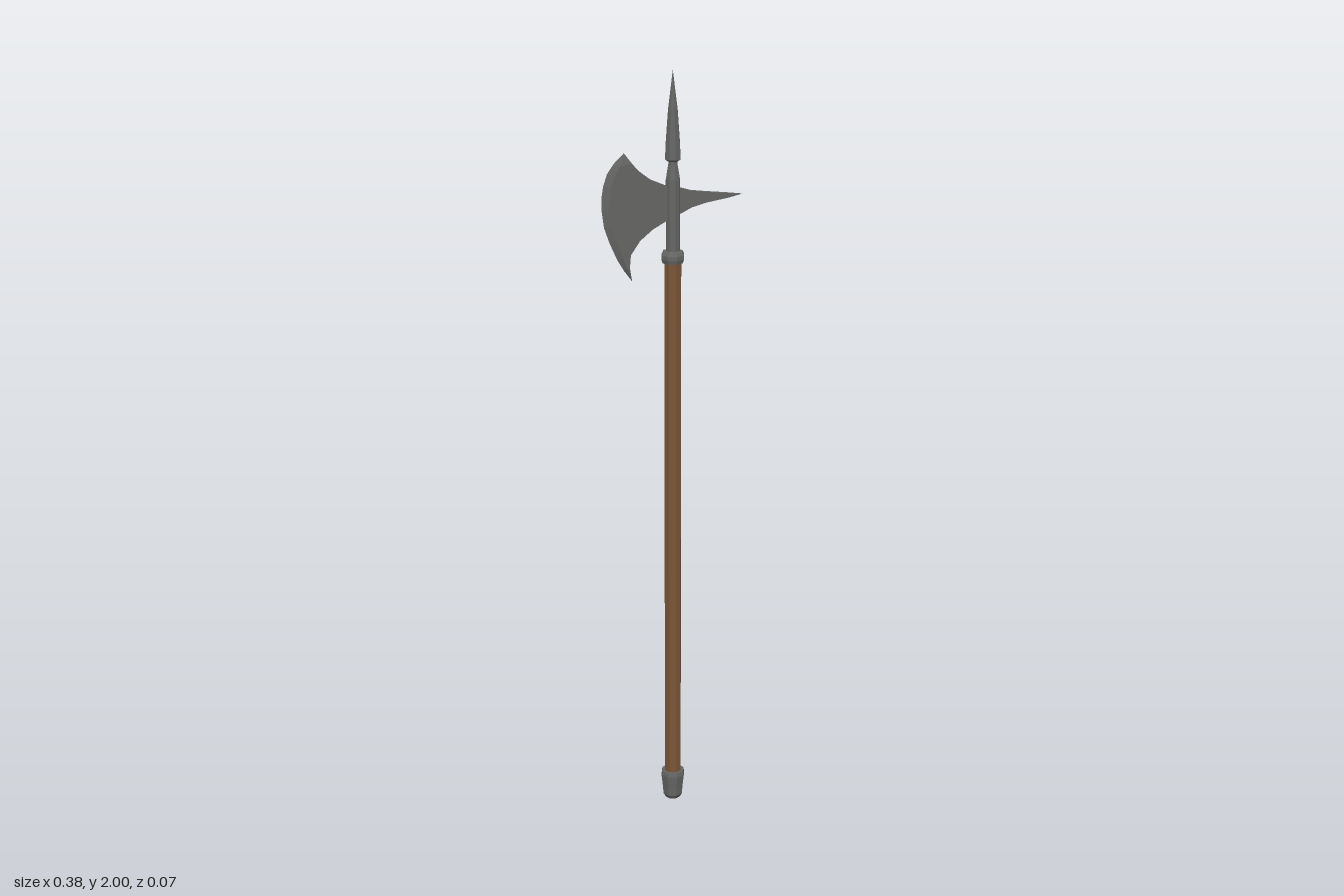
import * as THREE from 'three';

const T = 0.0065; // half thickness of the axe plate

// Skin between matching closed loops of [x, y, z] points
function loft(loops) {
  const n = loops[0].length, index = [];
  for (let i = 0; i < loops.length - 1; i++) {
    for (let j = 0; j < n; j++) {
      const k = (j + 1) % n, a = i * n, b = a + n;
      index.push(b + j, b + k, a + k, b + j, a + k, a + j);
    }
  }
  const geo = new THREE.BufferGeometry();
  geo.setAttribute('position', new THREE.Float32BufferAttribute(loops.flat(2), 3));
  geo.setIndex(index);
  const flat = geo.toNonIndexed();
  flat.computeVertexNormals();
  return flat;
}

// Eight-sided turned part from [radius, height] pairs, bottom to top
function turned(profile) {
  return new THREE.LatheGeometry(profile.map(([r, y]) => new THREE.Vector2(r, y)), 8);
}

export function createModel() {
  const steel = new THREE.MeshStandardMaterial({ name: 'steel', color: 0x666665, flatShading: true });
  const wood = new THREE.MeshStandardMaterial({ name: 'wood', color: 0x7a5638, flatShading: true });
  const model = new THREE.Group();
  model.name = 'halberd';
  const add = (name, geo, mat) => {
    const mesh = new THREE.Mesh(geo, mat);
    mesh.name = name;
    model.add(mesh);
  };

  // Pole with its foot cap
  add('pole', turned([[0.023, 0.06], [0.023, 1.52]]), wood);
  add('footCap', turned([[0, 0], [0.019, 0], [0.027, 0.012], [0.029, 0.035], [0.033, 0.07], [0.031, 0.082], [0.022, 0.082]]), steel);

  // Collar, socket and spear point
  add('collar', turned([[0.022, 1.508], [0.028, 1.51], [0.031, 1.52], [0.031, 1.53], [0.026, 1.54], [0.019, 1.541]]), steel);
  add('socket', turned([[0.019, 1.535], [0.019, 1.725], [0.012, 1.765], [0.012, 1.78]]), steel);
  add('spearPoint', turned([[0.012, 1.77], [0.021, 1.776], [0.019, 1.82], [0.013, 1.9], [0, 2]]), steel);

  // Axe blade: cutting edge, bevel line and inner edge from upper to lower tip
  const blade = [
    [[-0.13, 1.8], [-0.13, 1.8], [-0.13, 1.8]],
    [[-0.157, 1.775], [-0.141, 1.769], [-0.112, 1.775]],
    [[-0.175, 1.75], [-0.157, 1.744], [-0.094, 1.754]],
    [[-0.185, 1.72], [-0.166, 1.717], [-0.06, 1.728]],
    [[-0.19, 1.69], [-0.17, 1.688], [-0.015, 1.708]],
    [[-0.19, 1.66], [-0.17, 1.66], [-0.015, 1.622]],
    [[-0.184, 1.615], [-0.165, 1.618], [-0.055, 1.602]],
    [[-0.17, 1.575], [-0.153, 1.58], [-0.09, 1.575]],
    [[-0.15, 1.53], [-0.137, 1.536], [-0.115, 1.54]],
    [[-0.132, 1.5], [-0.125, 1.505], [-0.118, 1.507]],
    [[-0.11, 1.47], [-0.11, 1.47], [-0.11, 1.47]],
  ];
  add('axeBlade', loft(blade.map(([edge, bevel, inner], i) => {
    const t = i === 0 || i === blade.length - 1 ? 0 : T;
    return [[...edge, 0], [...bevel, t], [...inner, t], [...inner, -t], [...bevel, -t]];
  })), steel);

  // Rear spike: [x, lower y, upper y, half thickness] from tip to socket
  const spike = [
    [0.19, 1.673, 1.673, 0], [0.15, 1.667, 1.678, T], [0.09, 1.659, 1.686, T],
    [0.05, 1.65, 1.692, T], [0.015, 1.634, 1.703, T], [-0.016, 1.622, 1.709, T],
  ];
  add('rearSpike', loft(spike.map(([x, lo, hi, t]) =>
    [[x, hi, t], [x, lo, t], [x, lo, -t], [x, hi, -t]])), steel);

  return model;
}
